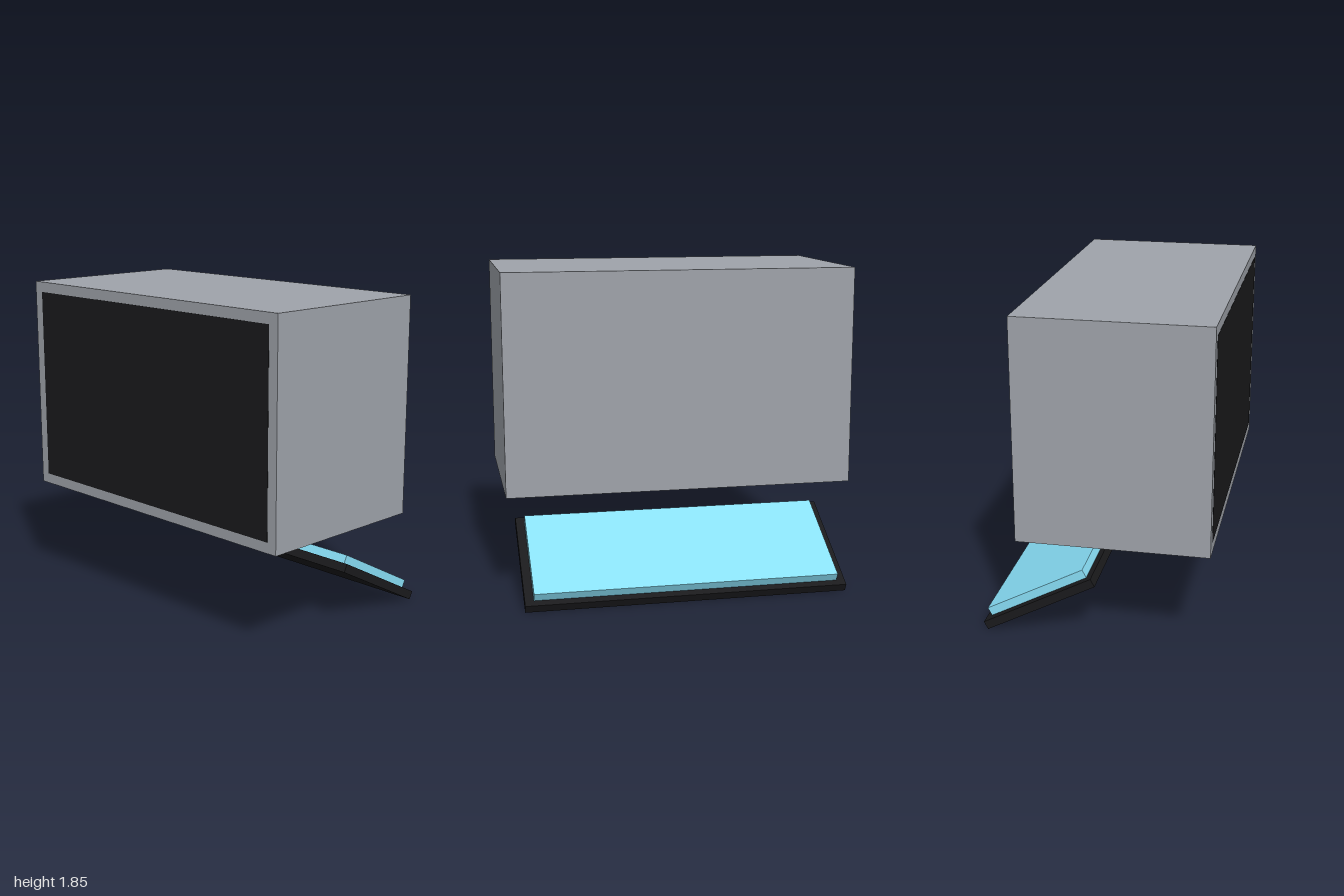
import * as THREE from 'three';

const grey = new THREE.MeshStandardMaterial({ color: 0x9fa3aa });
const black = new THREE.MeshStandardMaterial({ color: 0x1a1a1c });
const blue = new THREE.MeshStandardMaterial({ color: 0x89dff7 });

function box(name, size, position, material) {
  const mesh = new THREE.Mesh(new THREE.BoxGeometry(...size), material);
  mesh.name = name;
  mesh.position.set(...position);
  return mesh;
}

export function createModel() {
  const model = new THREE.Group();
  model.name = 'monitorWithTiltedPanel';

  // Monitor cabinet, floating above the panel
  model.add(box('cabinet', [2, 1.25, 1.061], [0, 1.225, 0.1105], grey));

  // Dark screen, practically flush with the cabinet front
  model.add(box('screen', [1.88, 1.13, 0.04], [0, 1.225, 0.622], black));

  // Panel sloping down towards the back: dark tray with a blue slab on it
  const panel = new THREE.Group();
  panel.name = 'tiltedPanel';
  panel.add(box('tray', [1.85, 0.05, 0.7], [0, 0, 0], black));
  panel.add(box('slab', [1.75, 0.05, 0.624], [0, 0.05, 0], blue));
  panel.position.set(0, 0.186, -0.321);
  panel.rotation.x = -THREE.MathUtils.degToRad(28);
  model.add(panel);

  return model;
}
